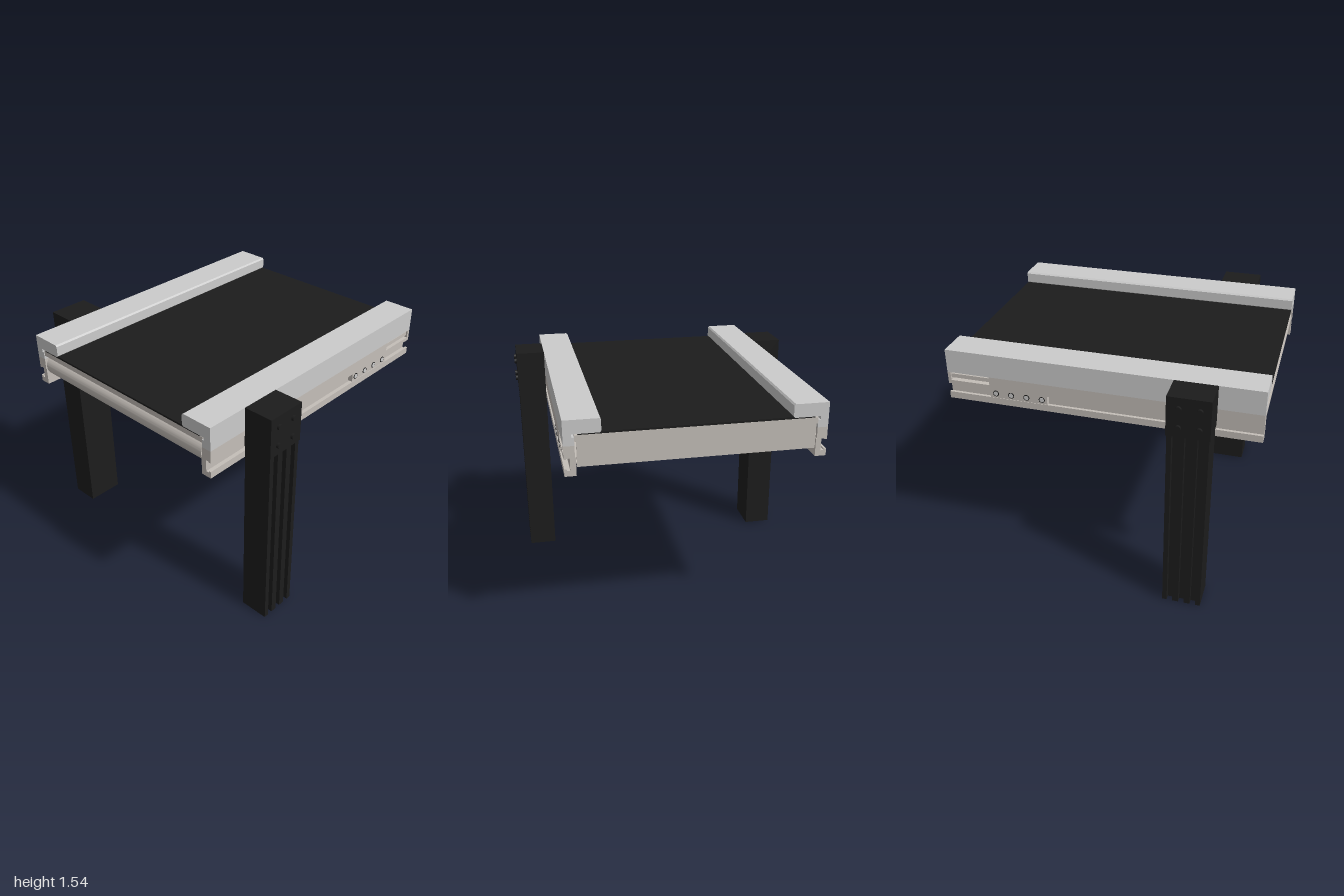
import * as THREE from 'three';
import { toCreasedNormals } from 'three/addons/utils/BufferGeometryUtils.js';

const grey = new THREE.MeshStandardMaterial({ color: 0xcccccc });
const warm = new THREE.MeshStandardMaterial({ color: 0xc4beb8 });
const black = new THREE.MeshStandardMaterial({ color: 0x1c1c1c });

function add(parent, name, geometry, material, x = 0, y = 0, z = 0) {
  const mesh = new THREE.Mesh(geometry, material);
  mesh.name = name;
  mesh.position.set(x, y, z);
  parent.add(mesh);
  return mesh;
}

// Box given by its limits on each axis
function block(parent, name, material, [x0, x1], [y0, y1], [z0, z1]) {
  const g = new THREE.BoxGeometry(Math.abs(x1 - x0), y1 - y0, z1 - z0);
  return add(parent, name, g, material, (x0 + x1) / 2, (y0 + y1) / 2, (z0 + z1) / 2);
}

function extrude(shape, depth) {
  return new THREE.ExtrudeGeometry(shape, { depth, bevelEnabled: false, curveSegments: 20 });
}

function polygon(points, sx = 1) {
  return new THREE.Shape(points.map(([x, y]) => new THREE.Vector2(x * sx, y)));
}

// Cylinder lying along x
function pin(parent, name, material, r, length, x, y, z, sides = 20) {
  const g = new THREE.CylinderGeometry(r, r, length, sides).rotateZ(Math.PI / 2);
  return add(parent, name, g, material, x, y, z);
}

function buildRail(s) {
  const rail = new THREE.Group();
  rail.name = s > 0 ? 'leftRail' : 'rightRail';

  // Top lip with the upper web
  const upper = [[0.57, 1.465], [0.58, 1.455], [0.74, 1.455], [0.74, 1.435], [0.725, 1.435],
    [0.725, 1.385], [0.79, 1.385], [0.79, 1.54], [0.58, 1.54], [0.57, 1.53]];
  add(rail, 'railLip', extrude(polygon(upper, s), 2), grey, 0, 0, -1);

  // Lower web with the outer accessory groove
  const lower = [[0.72, 1.2], [0.79, 1.2], [0.79, 1.245], [0.775, 1.245], [0.775, 1.235],
    [0.755, 1.235], [0.755, 1.31], [0.775, 1.31], [0.775, 1.305], [0.79, 1.305],
    [0.79, 1.33], [0.725, 1.33], [0.725, 1.315], [0.72, 1.315]];
  add(rail, 'railFoot', extrude(polygon(lower, s), 2), warm, 0, 0, -1);

  // Middle web, interrupted by the tension slot
  block(rail, 'railWeb', warm, [s * 0.725, s * 0.79], [1.33, 1.385], [-0.72, 1]);
  block(rail, 'railWebEnd', warm, [s * 0.725, s * 0.79], [1.33, 1.385], [-1, -0.98]);
  block(rail, 'slotBar', warm, [s * 0.74, s * 0.78], [1.345, 1.372], [-0.98, -0.72]);

  // Mounting strip in the groove and its screws
  block(rail, 'mountingStrip', warm, [s * 0.755, s * 0.787], [1.245, 1.305], [-0.72, -0.34]);
  for (let i = 0; i < 4; i++) {
    const z = -0.375 - i * 0.102;
    pin(rail, 'screwRim', black, 0.02, 0.004, s * 0.787, 1.275, z);
    pin(rail, 'screwHead', grey, 0.015, 0.007, s * 0.7875, 1.275, z);
  }
  return rail;
}

function buildLeg(s) {
  const leg = new THREE.Group();
  leg.name = s > 0 ? 'leftLeg' : 'rightLeg';

  // Post with three grooves down its outer face
  const points = [[0.79, -0.715], [0.98, -0.715]];
  for (const z of [0.665, 0.588, 0.511]) {
    points.push([0.98, -z - 0.018], [0.945, -z - 0.018], [0.945, -z + 0.018], [0.98, -z + 0.018]);
  }
  points.push([0.98, -0.463], [0.79, -0.463]);
  add(leg, 'post', extrude(polygon(points, s), 1.54).rotateX(-Math.PI / 2), black);

  // Clamp plate around the top, with four bolts
  block(leg, 'clampPlate', black, [s * 0.791, s * 0.985], [1.28, 1.541], [0.457, 0.721]);
  for (const y of [1.345, 1.47]) {
    for (const z of [0.53, 0.655]) {
      pin(leg, 'bolt', black, 0.018, 0.025, s * 0.9875, y, z);
    }
  }
  return leg;
}

// Return apron: hollow loop, rounded at the front and square at the back
function apronGeometry() {
  const cy = 1.3325, r = 0.0775, t = 0.008, cz = 0.92;
  const outline = (path, o) => {
    path.moveTo(-1 + o, cy - r + o);
    path.lineTo(cz, cy - r + o);
    path.absarc(cz, cy, r - o, -Math.PI / 2, Math.PI / 2, false);
    path.lineTo(-1 + o, cy + r - o);
    path.closePath();
    return path;
  };
  const shape = outline(new THREE.Shape(), 0);
  shape.holes.push(outline(new THREE.Path(), t));
  const g = extrude(shape, 1.43).translate(0, 0, -0.715).rotateY(-Math.PI / 2);
  return toCreasedNormals(g, Math.PI / 6);
}

export function createModel() {
  const model = new THREE.Group();
  model.name = 'conveyorSection';

  // Sliding bed, belt and return apron
  block(model, 'bed', warm, [-0.725, 0.725], [1.41, 1.448], [-1, 0.995]);
  block(model, 'belt', black, [-0.705, 0.705], [1.448, 1.46], [-0.998, 0.998]);
  add(model, 'returnApron', apronGeometry(), warm);

  for (const s of [-1, 1]) {
    model.add(buildRail(s), buildLeg(s));
    // Roller axle end
    pin(model, 'axleEnd', grey, 0.035, 0.03, s * 0.715, 1.3325, 0.92);
  }
  return model;
}
